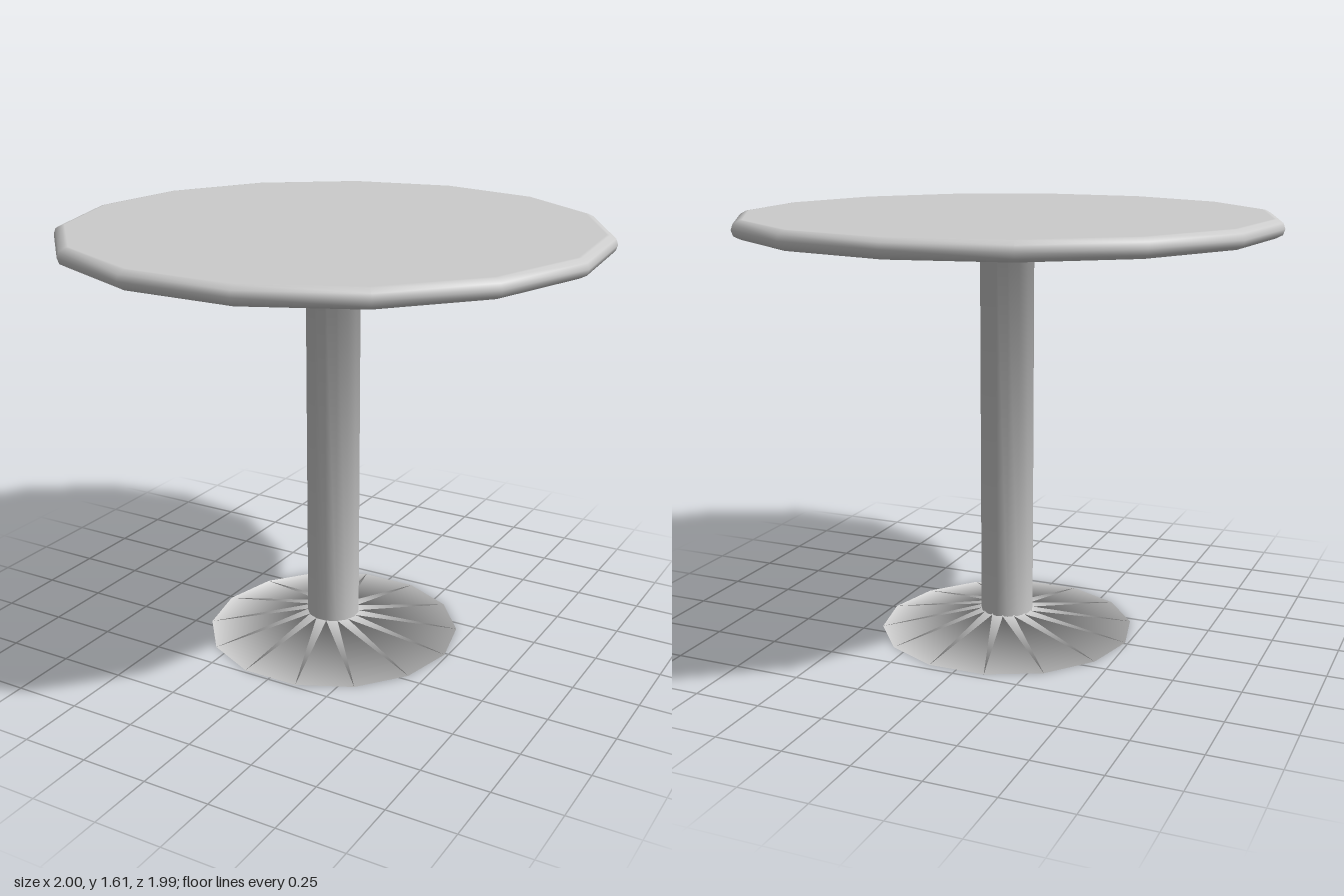
import * as THREE from 'three';

const material = new THREE.MeshStandardMaterial({ color: 0xcccccc });

// Turned part: profile of [radius, height] pairs, listed from the bottom up
function turned(name, profile, sides, startAngle) {
  const points = profile.map(([r, y]) => new THREE.Vector2(r, y));
  const mesh = new THREE.Mesh(new THREE.LatheGeometry(points, sides, startAngle), material);
  mesh.name = name;
  return mesh;
}

export function createModel() {
  const table = new THREE.Group();
  table.name = 'pedestalTable';

  // Shallow conical foot, its collar tucked into the column
  table.add(turned('base', [[0, 0], [0.488, 0], [0.1, 0.07], [0.09, 0.12]], 14, Math.PI / 2));

  // Column flowing into the underside of a round-edged top
  table.add(turned('columnAndTop', [
    [0.101, 0.06], [0.101, 1.544],
    [0.975, 1.544], [0.998, 1.556], [1.0055, 1.577], [0.998, 1.598], [0.975, 1.61],
    [0.965, 1.611], [0, 1.611],
  ], 15, Math.PI));

  // The odd-sided top reaches further on one side, so shift it to centre the outline
  table.position.z = 0.01;

  const model = new THREE.Group();
  model.name = 'table';
  model.add(table);
  return model;
}
